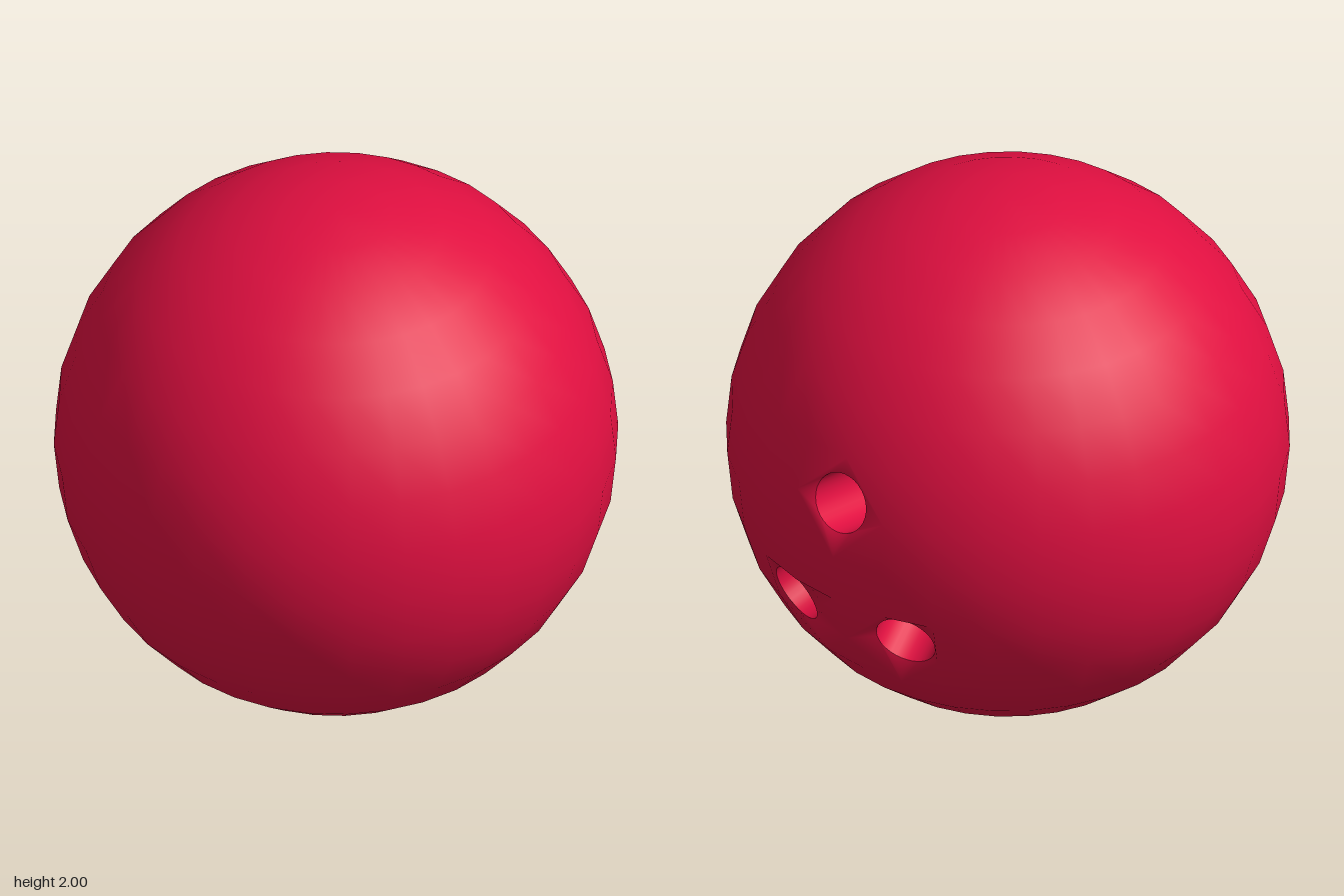
import * as THREE from 'three';

const STEP = Math.PI / 16;      // one cell of the ball's grid
const HOLE_R = 0.112, RIM = 0.985, DEPTH = 0.36, SIDES = 32;

// point on the unit ball: a = angle from the back towards +x, e = elevation
const onBall = (a, e) => new THREE.Vector3(Math.cos(e) * Math.sin(a), Math.sin(e), -Math.cos(e) * Math.cos(a));

// each hole: its direction and the lower corner of the 2 x 2 cells it is cut from
const HOLES = [
  { name: 'thumbHole', a: 0, e: 0.215, i: -1, j: 0 },
  { name: 'leftFingerHole', a: 0.267, e: -0.318, i: 0, j: -3 },
  { name: 'rightFingerHole', a: -0.267, e: -0.318, i: -2, j: -3 },
];
for (const h of HOLES) {
  h.dir = onBall(h.a, h.e);
  h.turn = new THREE.Quaternion().setFromUnitVectors(new THREE.Vector3(0, 1, 0), h.dir);
}
const RIM_Y = Math.sqrt(RIM * RIM - HOLE_R * HOLE_R);

function ballGeometry() {
  const pos = [], nor = [];
  const tri = (...corners) => {
    for (const c of corners) { pos.push(...c.p.toArray()); nor.push(...c.n.toArray()); }
  };
  const corner = (i, j) => {
    const p = onBall(i * STEP, j * STEP);
    return { p, n: p };
  };

  // plain grid cells, leaving out those around the holes
  for (let i = -16; i < 16; i++) for (let j = -8; j < 8; j++) {
    if (HOLES.some(h => i >= h.i && i < h.i + 2 && j >= h.j && j < h.j + 2)) continue;
    const [A, B, C, D] = [corner(i, j), corner(i + 1, j), corner(i + 1, j + 1), corner(i, j + 1)];
    if (j > -8) tri(A, C, B);
    if (j < 7) tri(A, D, C);
  }

  // patches from the cell borders to the round rims
  for (const h of HOLES) {
    const outer = [], outer2 = [];
    for (const [u, v] of [[0, 0], [1, 0], [2, 0], [2, 1], [2, 2], [1, 2], [0, 2], [0, 1]]) {
      outer.push(corner(h.i + u, h.j + v));
      // edge midpoints bulge a little so that triangulation keeps them
      const k = (u === 1 || v === 1) ? 1.02 : 1;
      outer2.push(new THREE.Vector2((h.i + 1 + (u - 1) * k) * STEP, (h.j + 1 + (v - 1) * k) * STEP));
    }
    const rim = [], rim2 = [];
    for (let s = 0; s < SIDES; s++) {
      const t = s / SIDES * Math.PI * 2;
      const side = new THREE.Vector3(Math.sin(t), 0, Math.cos(t)).applyQuaternion(h.turn);
      const p = side.clone().multiplyScalar(HOLE_R).addScaledVector(h.dir, RIM_Y);
      // rim normals lean into the hole for a softened edge
      const n = p.clone().normalize().addScaledVector(side, -0.7).normalize();
      rim.push({ p, n });
      rim2.push(new THREE.Vector2(Math.atan2(p.x, -p.z), Math.asin(p.y / RIM)));
    }
    const all = [...outer, ...rim];
    for (const f of THREE.ShapeUtils.triangulateShape(outer2, [rim2])) {
      const [A, B, C] = f.map(k => all[k]);
      const face = B.p.clone().sub(A.p).cross(C.p.clone().sub(A.p));
      if (face.dot(h.dir) > 0) tri(A, B, C); else tri(A, C, B);
    }
  }
  const g = new THREE.BufferGeometry();
  g.setAttribute('position', new THREE.Float32BufferAttribute(pos, 3));
  g.setAttribute('normal', new THREE.Float32BufferAttribute(nor, 3));
  return g;
}

export function createModel() {
  const model = new THREE.Group();
  const material = new THREE.MeshStandardMaterial({ color: 0xe00f40 });
  const ball = new THREE.Mesh(ballGeometry(), material);
  ball.name = 'ball';
  ball.position.y = 1;
  model.add(ball);

  // hole linings: wall and floor, facing inwards
  const v = (x, y) => new THREE.Vector2(x, y);
  const wall = new THREE.LatheGeometry([v(HOLE_R, RIM_Y), v(HOLE_R, RIM_Y - DEPTH)], SIDES);
  const floor = new THREE.LatheGeometry([v(HOLE_R, RIM_Y - DEPTH), v(0, RIM_Y - DEPTH)], SIDES);
  for (const h of HOLES) {
    const hole = new THREE.Group();
    hole.name = h.name;
    hole.position.y = 1;
    hole.quaternion.copy(h.turn);
    for (const [name, geometry] of [['holeWall', wall], ['holeFloor', floor]]) {
      const mesh = new THREE.Mesh(geometry, material);
      mesh.name = name;
      hole.add(mesh);
    }
    model.add(hole);
  }
  return model;
}
